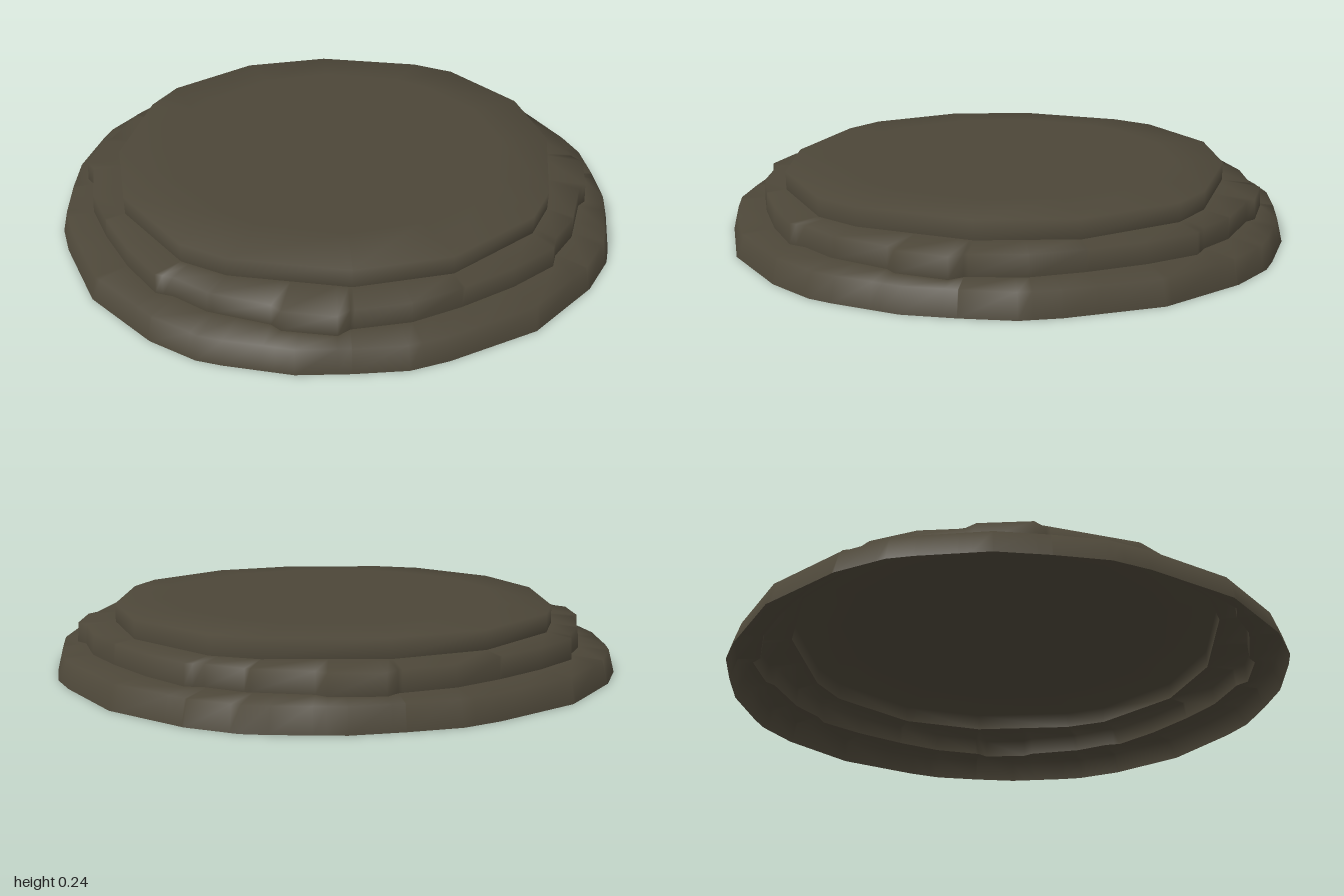
import * as THREE from 'three';

// A quarter of each worn outline (x, z); it repeats every 90 degrees
const LOWER = [[-0.195, -0.99], [-0.02, -1], [0.15, -1], [0.37, -0.95], [0.45, -0.925],
  [0.6, -0.83], [0.815, -0.61], [0.95, -0.32]];
const MIDDLE = [[-0.37, -0.8], [-0.21, -0.87], [-0.02, -0.9], [0.02, -0.93], [0.19, -0.9],
  [0.22, -0.87], [0.42, -0.8], [0.53, -0.72], [0.59, -0.7], [0.7, -0.55]];
const UPPER = [[-0.35, -0.73], [-0.03, -0.793], [0.36, -0.72], [0.51, -0.64]];

const TAU = Math.PI * 2;
const wrap = (a) => ((a % TAU) + TAU) % TAU;

// Full closed outline, sorted by angle
function outline(quarter) {
  const points = [];
  for (let q = 0; q < 4; q++) {
    for (const [x, z] of quarter) {
      const a = wrap(Math.atan2(z, x) + q * Math.PI / 2);
      points.push({ a, r: Math.hypot(x, z) });
    }
  }
  return points.sort((p, q) => p.a - q.a);
}

// Distance from the centre to the straight-sided outline at an angle
function radiusAt(points, a) {
  const n = points.length;
  let i = points.findIndex((p) => p.a > a + 1e-9);
  if (i < 0) i = 0;
  const p = points[(i + n - 1) % n], q = points[i];
  const span = wrap(q.a - p.a), t = wrap(a - p.a + 1e-9);
  return p.r * q.r * Math.sin(span) / (p.r * Math.sin(t) + q.r * Math.sin(span - t));
}

// Smooth skin over rings of { radius(angle), y }, from the foot inward
function loft(angles, rings) {
  const n = angles.length, position = [], index = [];
  for (const { radius, y } of rings) {
    for (const a of angles) {
      const r = radius(a);
      position.push(r * Math.cos(a), y, r * Math.sin(a));
    }
  }
  for (let k = 0; k < rings.length - 1; k++) {
    for (let i = 0; i < n; i++) {
      const j = (i + 1) % n, a = k * n + i, b = k * n + j;
      index.push(a, a + n, b, b, a + n, b + n);
    }
  }
  const geometry = new THREE.BufferGeometry();
  geometry.setAttribute('position', new THREE.Float32BufferAttribute(position, 3));
  geometry.setIndex(index);
  geometry.computeVertexNormals();
  return geometry;
}

export function createModel() {
  const group = new THREE.Group();
  group.name = 'steppedStonePlatform';
  const stone = new THREE.MeshStandardMaterial({ color: 0x4c4638, side: THREE.DoubleSide });
  stone.name = 'darkStone';

  const lower = outline(LOWER), middle = outline(MIDDLE), upper = outline(UPPER);
  const along = (points, scale = 1) => (a) => radiusAt(points, a) * scale;
  const angles = (...lists) => lists.flat().map((p) => p.a).sort((a, b) => a - b)
    .filter((a, i, all) => i === 0 || a - all[i - 1] > 1e-4);

  function addTier(name, angleList, rings) {
    const mesh = new THREE.Mesh(loft(angleList, rings), stone);
    mesh.name = name;
    group.add(mesh);
  }

  // Hollow tiers: each has a riser and a tread that meets the next riser
  addTier('lowerStep', angles(lower, middle), [
    { radius: along(lower), y: 0 },
    { radius: along(lower, 0.98), y: 0.08 },
    { radius: along(middle), y: 0.088 },
  ]);
  addTier('middleStep', angles(middle, upper), [
    { radius: along(middle), y: 0.088 },
    { radius: along(middle, 0.995), y: 0.158 },
    { radius: along(upper), y: 0.166 },
  ]);

  // Top slab, with a slightly domed rim around a flat centre
  addTier('topSlab', angles(upper), [
    { radius: along(upper), y: 0.166 },
    { radius: along(upper), y: 0.231 },
    { radius: () => 0.61, y: 0.24 },
    { radius: () => 0, y: 0.24 },
  ]);
  return group;
}
